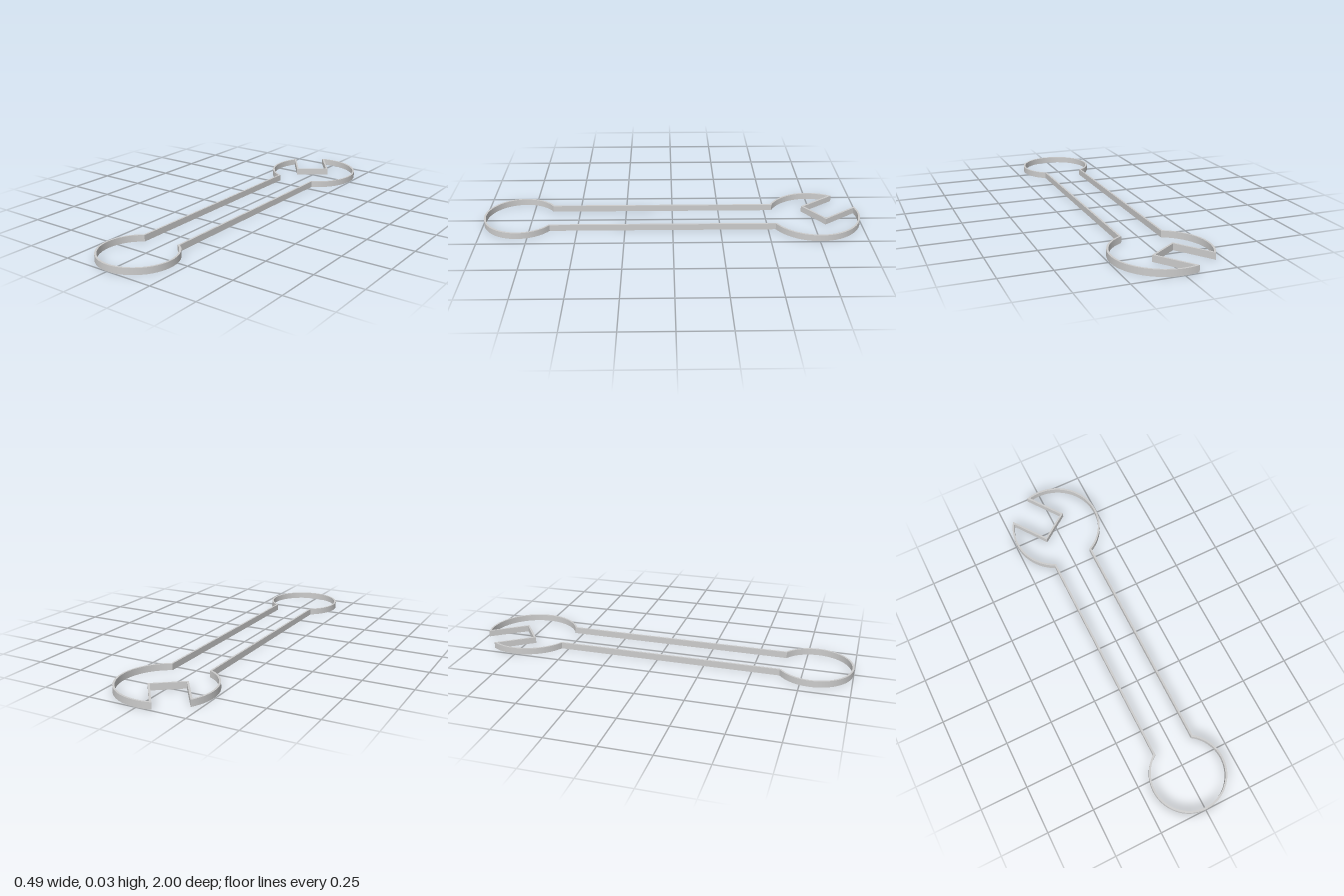
import * as THREE from 'three';
import { toCreasedNormals } from 'three/addons/utils/BufferGeometryUtils.js';

const HEIGHT = 0.033, WALL = 0.01;
const HEAD = { x: 0, y: 0.755, r: 0.245 };
const FOOT = { x: 0.003, y: -0.803, r: 0.197 };
const HANDLE_HALF = 0.113;
const JAW = { tilt: Math.PI / 5, left: -0.088, right: 0.078, floor: 0.015 };

// Spanner outline, moved inwards by an inset; drawn counter-clockwise
function traceOutline(path, inset) {
  const R = HEAD.r - inset, r = FOOT.r - inset, w = HANDLE_HALF - inset;
  const left = JAW.left - inset, right = JAW.right + inset, floor = JAW.floor - inset;
  const c = Math.cos(JAW.tilt), s = Math.sin(JAW.tilt);
  const jawPoint = (u, v) => path.lineTo(HEAD.x + u * c - v * s, HEAD.y + u * s + v * c);

  // right side of the head, up to the jaw
  path.absarc(HEAD.x, HEAD.y, R, -Math.acos((FOOT.x + w) / R), JAW.tilt + Math.acos(right / R), false);
  // jaw slot
  jawPoint(right, floor);
  jawPoint(left, floor);
  // left side of the head, down to the handle
  path.absarc(HEAD.x, HEAD.y, R, JAW.tilt + Math.acos(left / R),
    2 * Math.PI - Math.acos((FOOT.x - w) / R), false);
  // round end
  const a = Math.acos(w / r);
  path.absarc(FOOT.x, FOOT.y, r, Math.PI - a, 2 * Math.PI + a, false);
  path.closePath();
  return path;
}

export function createModel() {
  const group = new THREE.Group();
  group.name = 'spannerCutter';

  // thin upright wall: the outline with its inset copy as a hole
  const shape = traceOutline(new THREE.Shape(), 0);
  shape.holes.push(traceOutline(new THREE.Path(), WALL));
  const geometry = new THREE.ExtrudeGeometry(shape, {
    depth: HEIGHT, bevelEnabled: false, curveSegments: 32,
  });
  geometry.rotateX(-Math.PI / 2);

  const wall = new THREE.Mesh(
    toCreasedNormals(geometry, Math.PI / 6),
    new THREE.MeshStandardMaterial({ color: 0xcccccc }),
  );
  wall.name = 'outlineWall';
  group.add(wall);
  return group;
}
